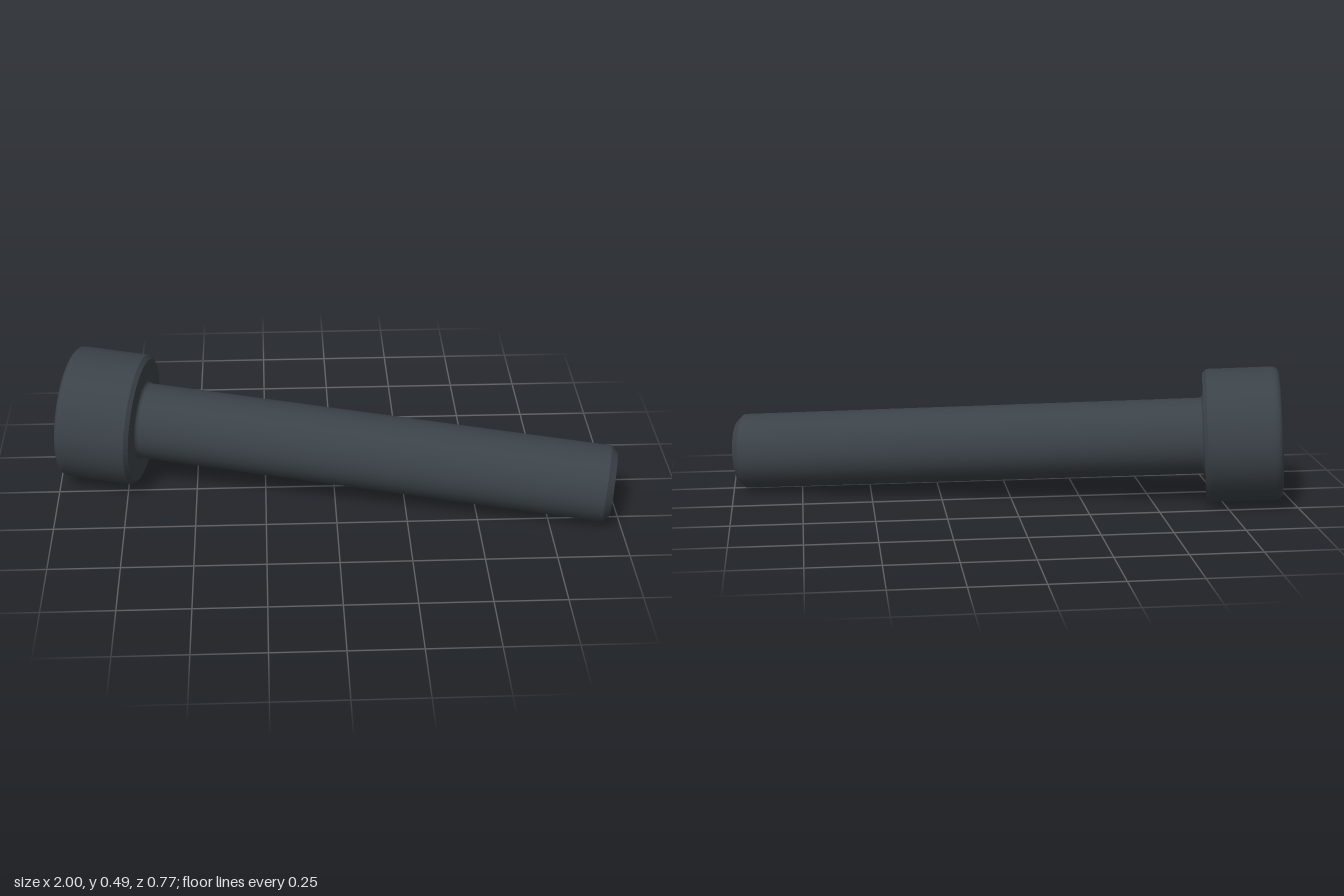
import * as THREE from 'three';

const SIDES = 32;
const LENGTH = 1.975;                        // tip to top of head
const SHANK_R = 0.1362, TIP_R = 0.112, TIP_CHAMFER = 0.025;
const HEAD_R = 0.2384, HEAD_H = 0.2724, UNDER = LENGTH - HEAD_H;
const TOP_FILLET = 0.026, UNDER_CHAMFER = 0.014, NECK_FILLET = 0.014;
const HEX_R = 0.118, HEX_DEPTH = 0.136;

export function createModel() {
  const model = new THREE.Group();
  model.name = 'socketScrew';
  const steel = new THREE.MeshStandardMaterial({ color: 0x3b4248 });
  steel.name = 'black steel';

  const screw = new THREE.Group();
  screw.name = 'screw';
  model.add(screw);

  const add = (name, geometry) => {
    const mesh = new THREE.Mesh(geometry, steel);
    mesh.name = name;
    screw.add(mesh);
  };
  // each turned surface is smooth in itself and sharp against its neighbours
  const turn = (name, points) =>
    add(name, new THREE.LatheGeometry(points.map(([r, y]) => new THREE.Vector2(r, y)), SIDES));
  const arc = (cx, cy, r, from, to, n = 5) =>
    Array.from({ length: n + 1 }, (_, i) => {
      const a = from + (to - from) * i / n;
      return [cx + r * Math.cos(a), cy + r * Math.sin(a)];
    });
  const ring = (r, n) =>
    Array.from({ length: n }, (_, i) => {
      const a = i * 2 * Math.PI / n;
      return new THREE.Vector2(r * Math.cos(a), r * Math.sin(a));
    });

  // shank, running up the local y axis from the tip
  turn('tipFace', [[0, 0], [TIP_R, 0]]);
  turn('tipChamfer', [[TIP_R, 0], [SHANK_R, TIP_CHAMFER]]);
  turn('shank', [[SHANK_R, TIP_CHAMFER], [SHANK_R, UNDER - NECK_FILLET]]);
  turn('neckFillet', arc(SHANK_R + NECK_FILLET, UNDER - NECK_FILLET, NECK_FILLET, Math.PI, Math.PI / 2));

  // head
  const rim = HEAD_R - TOP_FILLET;
  turn('headUnderside', [[SHANK_R + NECK_FILLET, UNDER], [HEAD_R - UNDER_CHAMFER, UNDER]]);
  turn('headChamfer', [[HEAD_R - UNDER_CHAMFER, UNDER], [HEAD_R, UNDER + UNDER_CHAMFER]]);
  turn('headSide', [[HEAD_R, UNDER + UNDER_CHAMFER], [HEAD_R, LENGTH - TOP_FILLET]]);
  turn('headFillet', arc(rim, LENGTH - TOP_FILLET, TOP_FILLET, 0, Math.PI / 2));

  const top = new THREE.Shape(ring(rim, SIDES));
  top.holes.push(new THREE.Path(ring(HEX_R, 6).reverse()));
  add('headTop', new THREE.ShapeGeometry(top).rotateX(-Math.PI / 2).translate(0, LENGTH, 0));

  // hexagonal socket, mirrored so its walls face inwards
  const walls = new THREE.CylinderGeometry(HEX_R, HEX_R, HEX_DEPTH, 6, 1, true)
    .rotateY(Math.PI / 2).scale(-1, 1, 1)
    .translate(0, LENGTH - HEX_DEPTH / 2, 0).toNonIndexed();
  walls.computeVertexNormals();
  add('socketWalls', walls);
  add('socketFloor', new THREE.CircleGeometry(HEX_R, 6)
    .rotateX(-Math.PI / 2).translate(0, LENGTH - HEX_DEPTH, 0));

  // lay the screw down along its slanting axis, a socket corner pointing up
  const axis = new THREE.Vector3(-0.9764, 0.058, -0.208).normalize();
  const up = new THREE.Vector3(0, 1, 0).addScaledVector(axis, -axis.y).normalize();
  const side = new THREE.Vector3().crossVectors(up, axis);
  screw.quaternion.setFromRotationMatrix(new THREE.Matrix4().makeBasis(up, axis, side));
  screw.position.set(0.976, 0.137, 0.255);

  return model;
}
